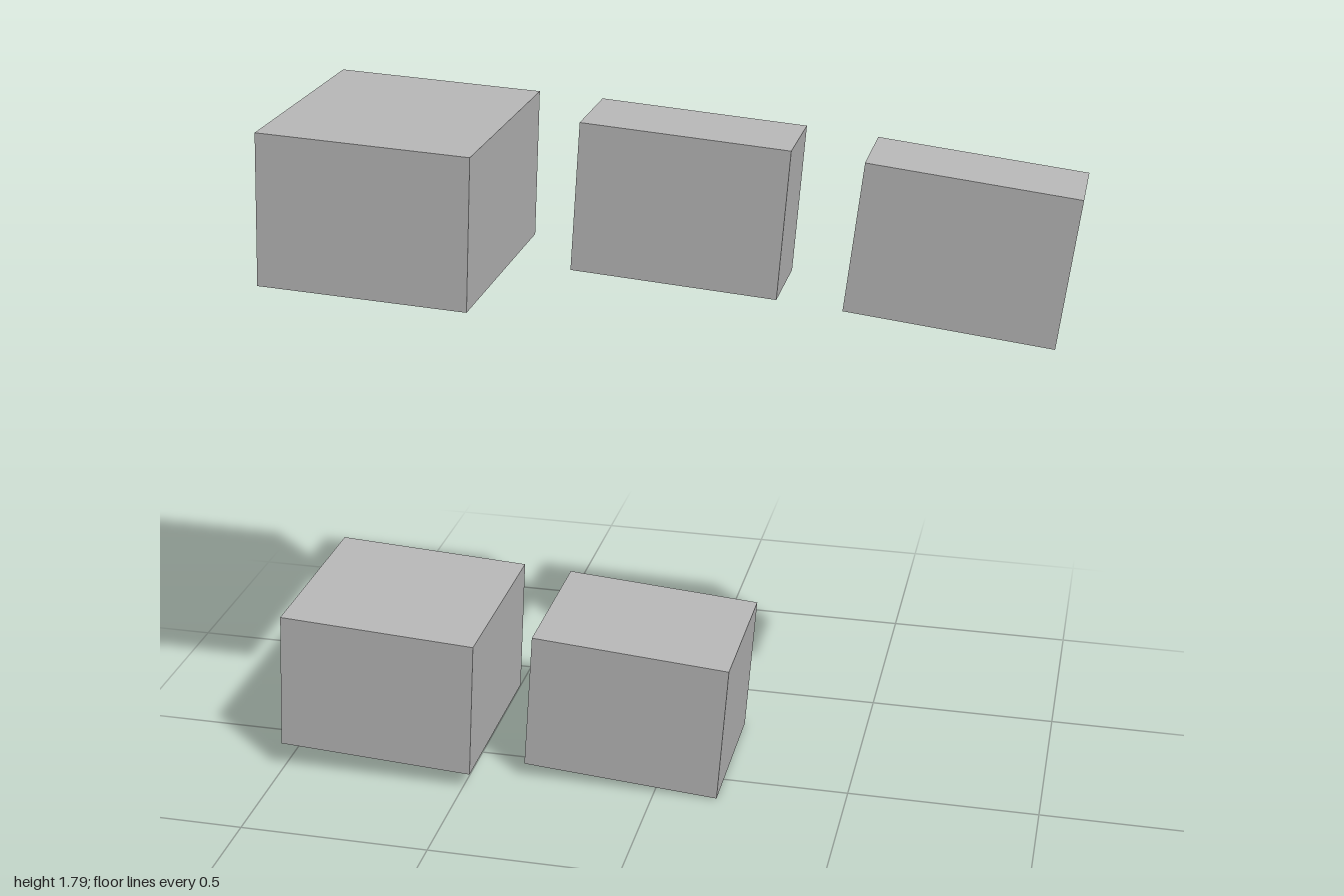
import * as THREE from 'three';

const WIDTH = 0.523;
const HEIGHT = 0.38;

// Thin-walled box without its back (-z) face
function openBackBox(depth) {
  const geometry = new THREE.BoxGeometry(WIDTH, HEIGHT, depth);
  const index = Array.from(geometry.index.array).slice(0, 30); // the last face is the back
  geometry.setIndex(index);
  geometry.clearGroups();
  return geometry;
}

export function createModel() {
  const model = new THREE.Group();
  model.name = 'openBoxes';

  const grey = new THREE.MeshStandardMaterial({ color: 0xb8b8b8, side: THREE.DoubleSide });
  grey.name = 'grey';

  // Each box: centre, tilt in degrees, back and front z
  const boxes = [
    { name: 'upperRightBox', x: -0.657, y: 1.586, tilt: -3.1, back: -0.31, front: 0.31 },
    { name: 'upperMiddleBox', x: 0.025, y: 1.544, tilt: -4.4, back: -0.305, front: -0.07 },
    { name: 'upperLeftBox', x: 0.717, y: 1.477, tilt: -6.5, back: -0.305, front: -0.07 },
    { name: 'lowerRightBox', x: -0.728, y: 0.251, tilt: -3.3, back: -0.31, front: 0.195 },
    { name: 'lowerMiddleBox', x: -0.079, y: 0.21, tilt: -4.4, back: -0.307, front: 0.1 },
  ];

  for (const { name, x, y, tilt, back, front } of boxes) {
    const box = new THREE.Mesh(openBackBox(front - back), grey);
    box.name = name;
    box.position.set(x, y, (front + back) / 2);
    box.rotation.z = THREE.MathUtils.degToRad(tilt);
    model.add(box);
  }

  return model;
}
